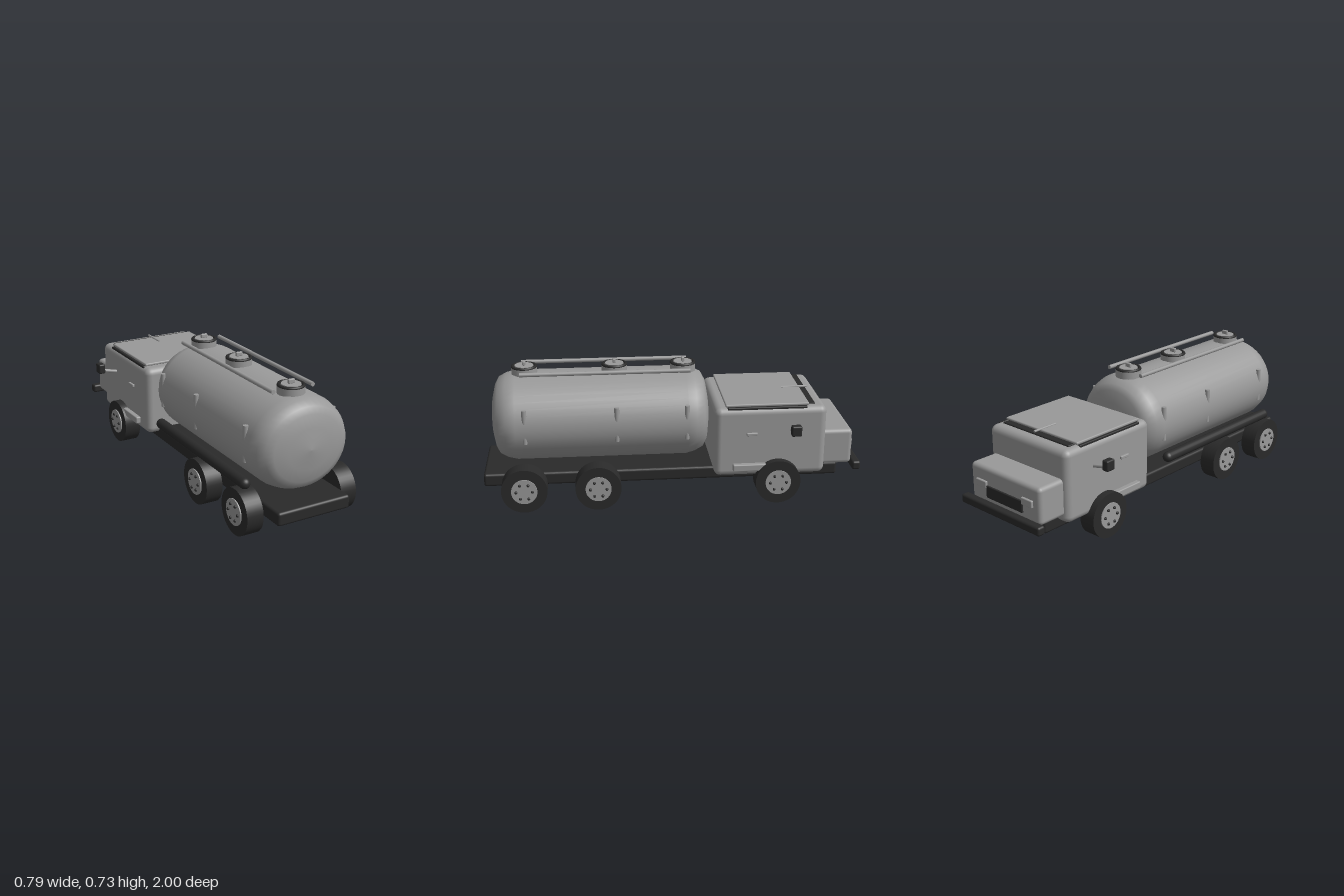
import * as THREE from 'three';
import { RoundedBoxGeometry } from 'three/addons/geometries/RoundedBoxGeometry.js';

const grey = new THREE.MeshStandardMaterial({ color: 0x999999 });
grey.name = 'paintGrey';
const dark = new THREE.MeshStandardMaterial({ color: 0x2a2a2a });
dark.name = 'rubberBlack';

export function createModel() {
  const truck = new THREE.Group();
  truck.name = 'tankerTruck';

  const add = (name, geometry, material, parent = truck) => {
    const mesh = new THREE.Mesh(geometry, material);
    mesh.name = name;
    parent.add(mesh);
    return mesh;
  };
  // Rounded box given by its low and high corners
  const box = (name, material, lo, hi, radius = 0.005) => {
    const size = hi.map((v, i) => v - lo[i]);
    const mesh = add(name, new RoundedBoxGeometry(...size, 3, radius), material);
    mesh.position.set(...hi.map((v, i) => (v + lo[i]) / 2));
    return mesh;
  };
  // Round bar between two points
  const bar = (name, material, from, to, radius, sides = 14) => {
    const a = new THREE.Vector3(...from), b = new THREE.Vector3(...to);
    const mesh = add(name, new THREE.CylinderGeometry(radius, radius, a.distanceTo(b), sides), material);
    mesh.position.copy(a).add(b).multiplyScalar(0.5);
    mesh.quaternion.setFromUnitVectors(new THREE.Vector3(0, 1, 0), b.sub(a).normalize());
    return mesh;
  };

  // Chassis and bumper
  box('chassis', dark, [-0.205, 0.105, -0.89], [0.205, 0.175, 1], 0.014);
  box('bumper', dark, [-0.283, 0.16, -1], [0.283, 0.207, -0.955], 0.012);

  // Cab and bonnet
  box('cab', grey, [-0.277, 0.145, -0.805], [0.277, 0.525, -0.213], 0.035);
  box('bonnet', grey, [-0.25, 0.185, -0.955], [0.25, 0.38, -0.77], 0.022);
  box('grille', dark, [-0.13, 0.222, -0.964], [0.13, 0.286, -0.94], 0.004);
  box('roofPanel', grey, [-0.255, 0.527, -0.71], [0.255, 0.542, -0.27], 0.006);
  box('windscreenTrim', dark, [-0.235, 0.51, -0.747], [0.235, 0.532, -0.70], 0.005);
  bar('roofAerial', grey, [0, 0.543, -0.61], [0, 0.543, -0.75], 0.006);

  // Tank: an oval shell with domed ends
  const profile = [[0, -0.21], [0.45, -0.198], [0.72, -0.186], [0.86, -0.168], [0.95, -0.125], [1, -0.08],
    [1, 0.82], [0.95, 0.87], [0.86, 0.91], [0.72, 0.928], [0.45, 0.943], [0, 0.955]]
    .map(([r, z]) => new THREE.Vector2(r, z));
  const tankShape = new THREE.LatheGeometry(profile, 40);
  tankShape.rotateX(Math.PI / 2);
  tankShape.scale(0.265, 0.236, 1);
  add('tank', tankShape, grey).position.y = 0.434;

  // Hatches along the top of the tank
  const hatchSpots = [-0.07, 0.295, 0.77];
  for (const z of hatchSpots) {
    const hatch = new THREE.Group();
    hatch.name = 'hatch';
    hatch.position.set(0, 0, z);
    truck.add(hatch);
    add('hatchCollar', new THREE.CylinderGeometry(0.068, 0.068, 0.04, 32), grey, hatch).position.y = 0.68;
    const ring = add('hatchRing', new THREE.TorusGeometry(0.06, 0.009, 8, 32), dark, hatch);
    ring.rotation.x = Math.PI / 2;
    ring.position.y = 0.701;
    add('hatchLid', new THREE.CylinderGeometry(0.049, 0.049, 0.012, 32), grey, hatch).position.y = 0.703;
    add('hatchHandle', new RoundedBoxGeometry(0.036, 0.022, 0.016, 2, 0.004), grey, hatch).position.y = 0.72;
  }

  // Parts mirrored on both sides
  for (const s of [-1, 1]) {
    const pair = (name, material, lo, hi, radius) => s > 0
      ? box(name, material, lo, hi, radius)
      : box(name, material, [-hi[0], lo[1], lo[2]], [-lo[0], hi[1], hi[2]], radius);

    pair('headlight', grey, [0.127, 0.27, -0.967], [0.203, 0.308, -0.94], 0.005);
    pair('sideTrim', dark, [0.245, 0.502, -0.70], [0.266, 0.528, -0.28], 0.005);
    pair('doorHandle', grey, [0.265, 0.376, -0.437], [0.288, 0.392, -0.38], 0.004);
    pair('step', grey, [0.26, 0.182, -0.495], [0.303, 0.22, -0.31], 0.006);
    pair('mirror', dark, [0.356, 0.407, -0.648], [0.394, 0.463, -0.595], 0.008);
    bar('mirrorArm', grey, [s * 0.265, 0.398, -0.62], [s * 0.365, 0.42, -0.62], 0.009);
    bar('tankRail', grey, [s * 0.112, 0.69, -0.1], [s * 0.112, 0.69, 0.79], 0.011);
    for (const z of hatchSpots) {
      bar('tankBracket', grey, [s * 0.249, 0.36, z], [s * 0.249, 0.545, z], 0.013);
    }

    // Wheels
    for (const z of [-0.55, 0.4, 0.785]) {
      const wheel = new THREE.Group();
      wheel.name = 'wheel';
      wheel.position.set(s * 0.27, 0.12, z);
      wheel.rotation.z = -s * Math.PI / 2;
      truck.add(wheel);
      add('tyre', new THREE.CylinderGeometry(0.12, 0.12, 0.09, 40), dark, wheel);
      add('hub', new THREE.CylinderGeometry(0.068, 0.068, 0.02, 32), grey, wheel).position.y = 0.041;
      for (let i = 0; i < 6; i++) {
        const a = i * Math.PI / 3;
        const bolt = add('wheelBolt', new THREE.SphereGeometry(0.008, 10, 8), dark, wheel);
        bolt.position.set(Math.sin(a) * 0.043, 0.053, Math.cos(a) * 0.043);
      }
    }
  }

  // Axles
  for (const z of [-0.55, 0.4, 0.785]) {
    bar('axle', dark, [-0.24, 0.125, z], [0.24, 0.125, z], 0.015);
  }

  // Hose carried along the right side
  const hose = add('hose', new THREE.CapsuleGeometry(0.028, 0.86, 8, 20), dark);
  hose.rotation.x = Math.PI / 2;
  hose.position.set(-0.27, 0.266, 0.372);

  return truck;
}
